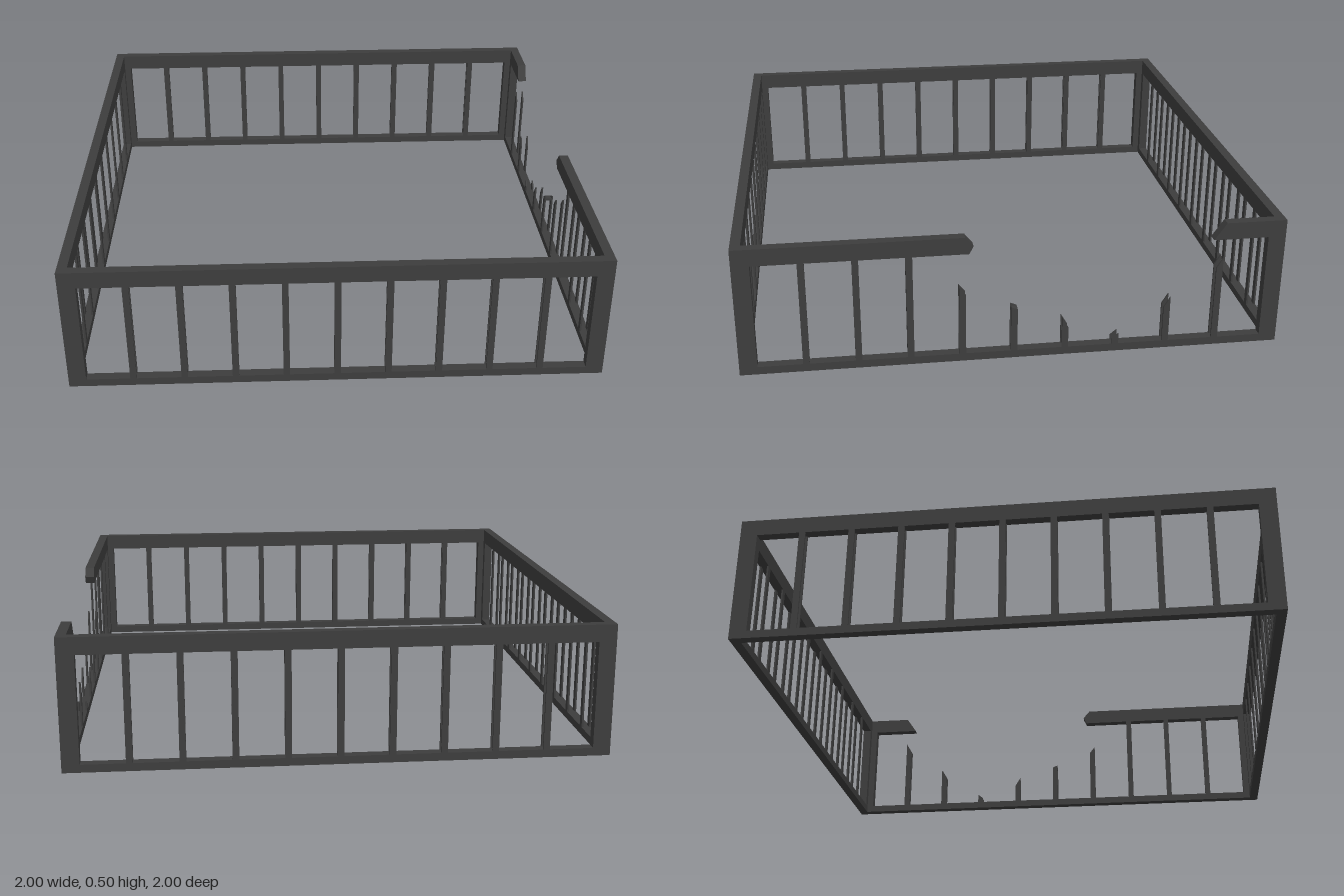
import * as THREE from 'three';

const H = 0.5;         // overall height
const T = 0.037;       // wall thickness
const POST = 0.065;    // post width
const RAIL = 0.065;    // top rail height
const SILL = 0.03;     // bottom rail height
const BAR = 0.024;     // bar width
const PLATE = 0.007;   // thickness of each bar strip
const STEP = 0.19;     // bar spacing

export function createModel() {
  const iron = new THREE.MeshStandardMaterial({ color: 0x3d3d3d });
  iron.name = 'dark iron';

  // Slab with an outline in the panel plane, reaching from depth z0 to z1
  const slab = (parent, name, points, z0, z1) => {
    const shape = new THREE.Shape(points.map(([x, y]) => new THREE.Vector2(x, y)));
    const geo = new THREE.ExtrudeGeometry(shape, { depth: z1 - z0, bevelEnabled: false });
    geo.translate(0, 0, z0);
    const mesh = new THREE.Mesh(geo, iron);
    mesh.name = name;
    parent.add(mesh);
  };
  const rect = (x0, y0, x1, y1) => [[x0, y0], [x1, y0], [x1, y1], [x0, y1]];

  // One fence side; its outer face is at z = 1 before turning.
  // broken maps a bar number to its left and right stub heights.
  const makePanel = (name, angle, half, broken) => {
    const panel = new THREE.Group();
    panel.name = name;
    const inner = 1 - T;
    const railY = H - RAIL;

    slab(panel, 'bottomRail', rect(-half, 0, half, SILL), inner, 1);
    slab(panel, 'leftPost', rect(-half, SILL, POST - 1, railY), inner, 1);
    slab(panel, 'rightPost', rect(1 - POST, SILL, half, railY), inner, 1);

    if (broken) {
      // Top rail snapped in two, with slanted ends
      slab(panel, 'brokenRailLong',
        [[-half, railY], [-0.165, railY], [-0.15, 0.465], [-0.18, H], [-half, H]], inner, 1);
      slab(panel, 'brokenRailShort',
        [[0.73, railY], [half, railY], [half, H], [0.775, H]], inner, 1);
    } else {
      slab(panel, 'topRail', rect(-half, railY, half, H), inner, 1);
    }

    // Bars are pairs of strips, flush with the inner and outer faces
    for (let k = -4; k <= 4; k++) {
      const x0 = k * STEP - BAR / 2, x1 = x0 + BAR;
      const [a, b] = broken?.[k] ?? [railY, railY];
      const outline = [[x0, SILL], [x1, SILL], [x1, b], [x0, a]];
      slab(panel, 'outerBar', outline, 1 - PLATE, 1);
      slab(panel, 'innerBar', outline, inner, inner + PLATE);
    }

    panel.rotation.y = angle;
    return panel;
  };

  const stubs = {
    '-1': [0.3, 0.27], 0: [0.21, 0.2], 1: [0.15, 0.11],
    2: [0.05, 0.07], 3: [0.17, 0.21], 4: [0.32, 0.36],
  };

  const model = new THREE.Group();
  model.name = 'brokenFence';
  const left = makePanel('brokenLeftSide', Math.PI / 2, 1 - T, stubs);
  // Small cap still joining one pair of stubs
  slab(left, 'stubCap', rect(-BAR / 2, 0.19, BAR / 2, 0.2), 1 - T + PLATE, 1 - PLATE);
  model.add(
    makePanel('frontSide', 0, 1),
    makePanel('backSide', Math.PI, 1),
    makePanel('rightSide', -Math.PI / 2, 1 - T),
    left,
  );
  return model;
}
